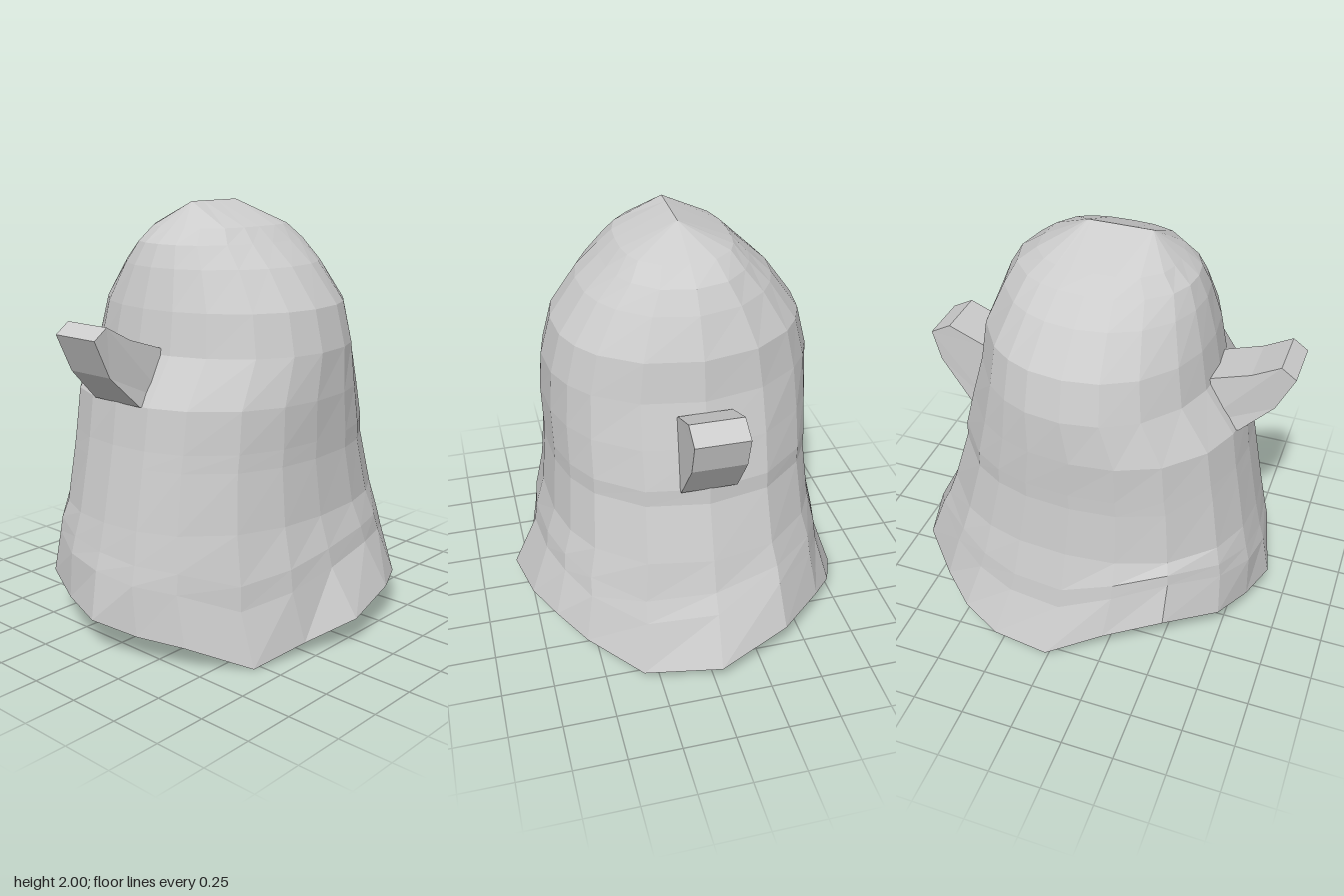
import * as THREE from 'three';

// bottom hem, walked from the left side round past the front: [x, y, z]
const HEM = [
  [0.82, 0.13, 0.04], [0.71, 0.06, 0.28], [0.63, 0, 0.54], [0.42, 0.11, 0.76],
  [0.21, 0.13, 0.85], [-0.02, 0.16, 0.91], [-0.24, 0.19, 0.85], [-0.46, 0.24, 0.76],
  [-0.67, 0.3, 0.54], [-0.76, 0.2, 0.27], [-0.83, 0.05, 0], [-0.8, 0.06, -0.28],
  [-0.72, 0.11, -0.47], [-0.6, 0.17, -0.62], [-0.37, 0.19, -0.83], [-0.02, 0.12, -0.95],
  [0.33, 0.06, -0.83], [0.56, 0.13, -0.62], [0.68, 0.18, -0.46], [0.77, 0.18, -0.27],
];

// body sections from the crown down:
// [y, half width, front z, back z, squareness, how far y follows the hem's wave]
const SECTIONS = [
  [1.89, 0.26, 0.37, -0.275, 2.7, 0], [1.82, 0.338, 0.455, -0.38, 2.2, 0],
  [1.72, 0.45, 0.5, -0.44, 2.05, 0], [1.54, 0.58, 0.55, -0.515, 2.1, 0],
  [1.35, 0.63, 0.585, -0.54, 2.1, 0], [1.14, 0.64, 0.725, -0.6, 2.2, 0],
  [0.95, 0.635, 0.75, -0.645, 2.3, 0], [0.87, 0.635, 0.765, -0.65, 2.3, 0],
  [0.6, 0.66, 0.815, -0.735, 2.3, 0], [0.45, 0.705, 0.845, -0.78, 2.25, 0.6],
  [0.36, 0.72, 0.87, -0.83, 2.15, 0.8],
];

// rounded-square section, with one corner in line with each hem point
function sectionRing([y, halfWidth, front, back, p, wave]) {
  return HEM.map(([hx, hy, hz]) => {
    const a = Math.atan2((hz + 0.02) / 0.93, (hx + 0.01) / 0.82);
    const c = Math.cos(a), s = Math.sin(a);
    const r = (Math.abs(c) ** p + Math.abs(s) ** p) ** (-1 / p);
    return [-0.02 + halfWidth * r * c, y + wave * (hy - 0.13),
      (front + back) / 2 + ((front - back) / 2) * r * s];
  });
}

function skin(rings) {
  const pos = [];
  const n = HEM.length;
  for (let i = 0; i < rings.length - 1; i++) {
    for (let j = 0; j < n; j++) {
      const k = (j + 1) % n;
      const a = rings[i][j], b = rings[i][k], c = rings[i + 1][k], d = rings[i + 1][j];
      pos.push(...a, ...b, ...c, ...a, ...c, ...d);
    }
  }
  const geo = new THREE.BufferGeometry();
  geo.setAttribute('position', new THREE.Float32BufferAttribute(pos, 3));
  geo.computeVertexNormals();
  return geo;
}

// peg from a side profile of [z, y] points; below footY it widens by footScale
function pegGeometry(profile, footY, footScale) {
  const shape = new THREE.Shape(profile.map(([z, y]) => new THREE.Vector2(z, y)));
  const geo = new THREE.ExtrudeGeometry(shape, { depth: 0.25, bevelEnabled: false });
  geo.translate(0, 0, -0.125).rotateY(-Math.PI / 2);
  const pos = geo.attributes.position;
  for (let i = 0; i < pos.count; i++) {
    if (pos.getY(i) < footY) pos.setX(i, pos.getX(i) * footScale);
  }
  geo.translate(-0.025, 0, 0);
  geo.computeVertexNormals();
  return geo;
}

export function createModel() {
  const group = new THREE.Group();
  const gray = new THREE.MeshStandardMaterial({ color: 0xcccccc, flatShading: true });
  gray.name = 'light gray';
  const add = (name, geo) => {
    const mesh = new THREE.Mesh(geo, gray);
    mesh.name = name;
    group.add(mesh);
  };

  // outer shell, from the short crown ridge to the hem
  const sections = SECTIONS.map(sectionRing);
  const ridge = sections[0].map(([, , z]) => [-0.02, 2, THREE.MathUtils.clamp(z, -0.06, 0.24)]);
  add('domedShell', skin([ridge, ...sections, HEM]));

  // hem thickness, inner wall and flat ceiling of the hollow
  const innerHem = HEM.map(([x, y, z]) => [x * 0.92, y + 0.01, z * 0.92]);
  const ceiling = HEM.map(([x, y, z]) => {
    const s = y > 0.25 ? 0.88 : 0.81;
    return [x * s, 0.37, z * s];
  });
  const centre = HEM.map(() => [0, 0.37, 0]);
  add('hem', skin([HEM, innerHem]));
  add('hollow', skin([innerHem, ceiling, centre]));

  // pegs, with their roots sunk into the shell
  add('frontPeg', pegGeometry([
    [0.55, 1.14], [0.72, 1.14], [0.87, 1.29], [0.95, 1.46], [0.88, 1.51], [0.75, 1.44], [0.57, 1.38], [0.55, 1.36],
  ], 1.2, 1.18));
  add('backPeg', pegGeometry([
    [-0.53, 0.95], [-0.53, 1.28], [-0.55, 1.3], [-0.73, 1.375], [-0.83, 1.32], [-0.79, 1.17], [-0.64, 0.95],
  ], 1, 1.05));
  return group;
}
